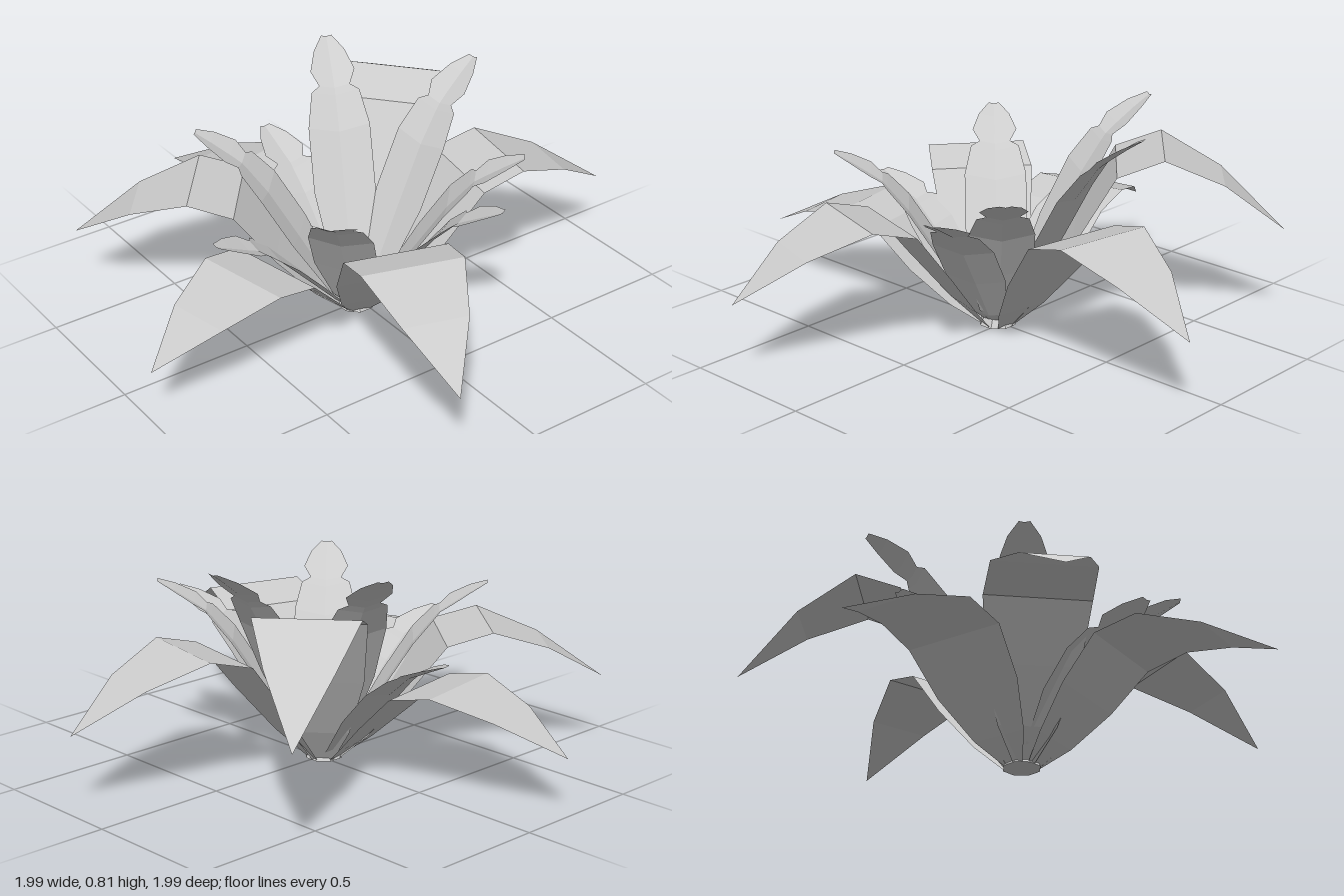
import * as THREE from 'three';

const leafGrey = new THREE.MeshStandardMaterial({ color: 0xcccccc, flatShading: true, side: THREE.DoubleSide });
leafGrey.name = 'leafGrey';

// Leaf rows: [distance out, height, half width], as fractions of leaf length, leaf height and width
const OUTER = [
  [0.05, 0.0, 0.2], [0.14, 0.2, 0.55], [0.27, 0.54, 0.88], [0.41, 0.91, 1],
  [0.57, 1, 0.97], [0.78, 0.84, 0.62], [1, 0.55, 0]
];
const INNER = [
  [0.04, 0.02, 0.25], [0.15, 0.13, 0.6], [0.36, 0.44, 1], [0.55, 0.7, 1],
  [0.68, 0.83, 0.78], [0.71, 0.85, 0.5], [0.78, 0.9, 0.72], [0.9, 0.96, 0.5], [1, 1, 0.17]
];

// Strip of three points across each row; fold lowers the midrib into a shallow trough
function leafGeometry(rows, length, height, width, fold) {
  const positions = [], index = [];
  rows.forEach(([d, h, w], i) => {
    for (const s of [-1, 0, 1]) {
      positions.push(s * w * width, h * height - (s === 0 ? fold * w : 0), d * length);
    }
    if (i === 0) return;
    for (let k = 0; k < 2; k++) {
      const a = (i - 1) * 3 + k, b = a + 3;
      index.push(a, b, a + 1, a + 1, b, b + 1);
    }
  });
  const g = new THREE.BufferGeometry();
  g.setAttribute('position', new THREE.Float32BufferAttribute(positions, 3));
  g.setIndex(index);
  g.computeVertexNormals();
  return g;
}

export function createModel() {
  const model = new THREE.Group();
  model.name = 'plant';
  const centreX = -0.02;

  function addLeaf(name, rows, tipX, tipZ, height, width, fold) {
    const dx = tipX - centreX;
    const leaf = new THREE.Mesh(leafGeometry(rows, Math.hypot(dx, tipZ), height, width, fold), leafGrey);
    leaf.name = name;
    leaf.position.x = centreX;
    leaf.rotation.y = Math.atan2(dx, tipZ);
    model.add(leaf);
  }

  // Six long arching leaves: tip x, tip z, crest height
  [
    [0.99, 0.17, 0.505], [0.76, -0.67, 0.69], [-0.19, -1, 0.38],
    [-0.82, -0.64, 0.505], [-1, 0.2, 0.38], [-0.32, 0.99, 0.515]
  ].forEach(([x, z, h], i) => addLeaf('outerLeaf' + (i + 1), OUTER, x, z, h, 0.19, 0));

  // Eight short upright leaves with notched tips: tip x, tip z, tip height
  [
    [0.2, 0.55, 0.58], [0.405, 0.415, 0.665], [0.57, 0.085 - 0.17, 0.81], [0.23, -0.54, 0.81],
    [-0.015, -0.6, 0.48], [-0.43, -0.415, 0.665], [-0.61, 0, 0.46], [-0.43, 0.41, 0.665]
  ].forEach(([x, z, h], i) => addLeaf('innerLeaf' + (i + 1), INNER, x, z, h, 0.115, 0.025));

  // Low eight-sided stem base
  const base = new THREE.Mesh(new THREE.CylinderGeometry(0.045, 0.07, 0.05, 8), leafGrey);
  base.name = 'stemBase';
  base.position.set(centreX, 0.025, 0);
  base.rotation.y = Math.PI / 8;
  model.add(base);

  return model;
}
